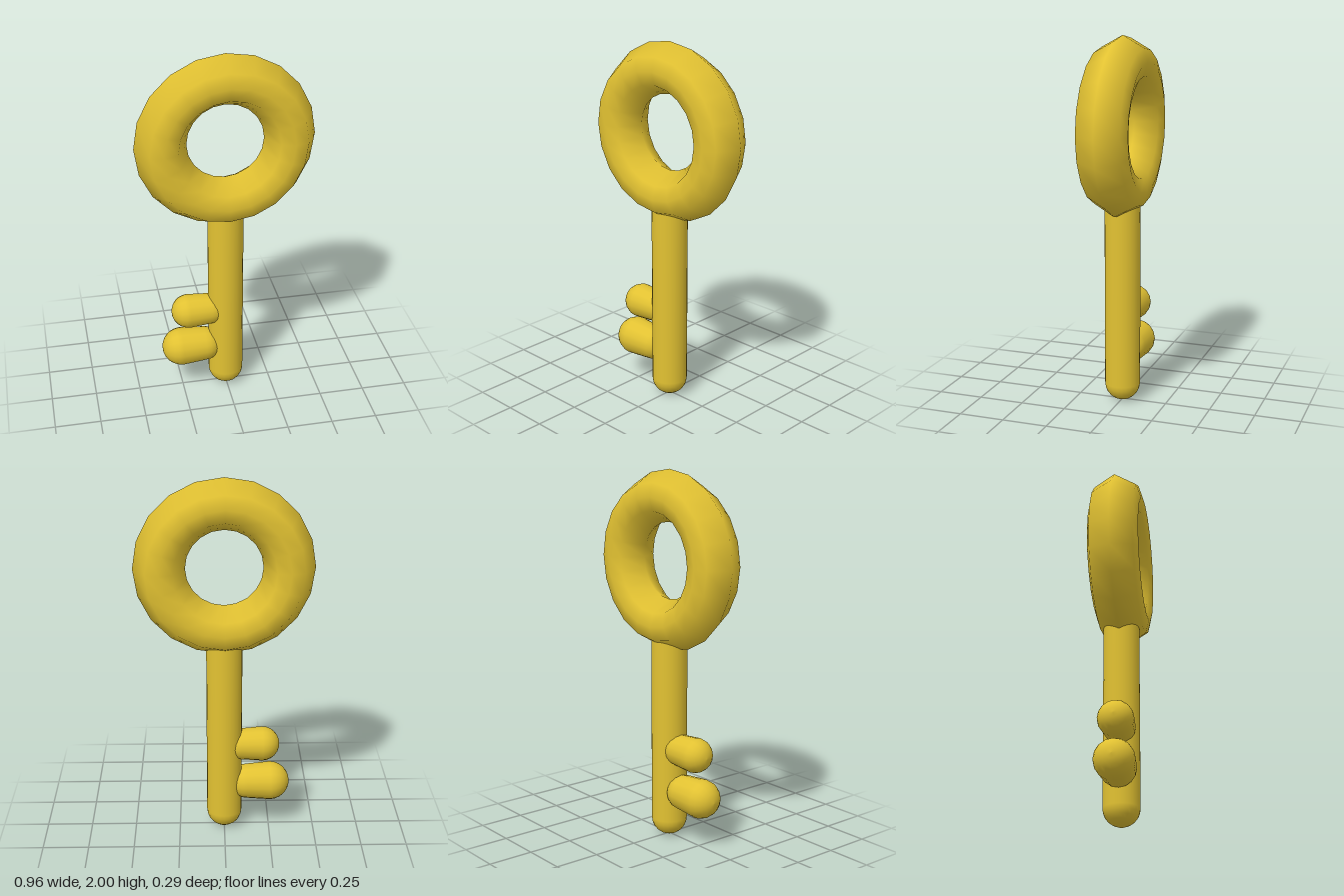
import * as THREE from 'three';

const gold = new THREE.MeshStandardMaterial({ color: 0xe2c232 });

// Round-ended bar from y = a (radius ra) up to y = b (radius rb)
function roundedBar(name, a, ra, b, rb, sides) {
  const pts = [];
  const steps = 6;
  for (let i = 0; i <= steps; i++) {
    const t = (i / steps) * Math.PI / 2;
    pts.push(new THREE.Vector2(ra * Math.sin(t), a - ra * Math.cos(t)));
  }
  for (let i = 0; i <= steps; i++) {
    const t = (i / steps) * Math.PI / 2;
    pts.push(new THREE.Vector2(rb * Math.cos(t), b + rb * Math.sin(t)));
  }
  pts[0].x = pts[pts.length - 1].x = 0;
  const mesh = new THREE.Mesh(new THREE.LatheGeometry(pts, sides), gold);
  mesh.name = name;
  return mesh;
}

// Ring with a faceted tube: sharp outer rim, flattened front and back
function ringGeometry(R, r, around) {
  const angles = [0, 58, 90, 122, 180, 238, 270, 302, 360];
  const geo = new THREE.TorusGeometry(R, r, angles.length - 1, around);
  const { position, normal } = geo.attributes;
  for (let k = 0; k < position.count; k++) {
    const a = THREE.MathUtils.degToRad(angles[Math.floor(k / (around + 1))]);
    const u = ((k % (around + 1)) / around) * Math.PI * 2;
    const c = Math.cos(a), s = Math.sin(a), d = R + r * c;
    position.setXYZ(k, d * Math.cos(u), d * Math.sin(u), r * s);
    normal.setXYZ(k, c * Math.cos(u), c * Math.sin(u), s);
  }
  return geo;
}

export function createModel() {
  const key = new THREE.Group();
  key.name = 'key';

  // Bow: the ring one holds
  const bow = new THREE.Mesh(ringGeometry(0.342, 0.137, 20), gold);
  bow.name = 'bow';
  bow.position.y = 1.522;
  bow.rotation.y = 0.026;
  key.add(bow);

  // Shaft, its upper end buried in the bow
  key.add(roundedBar('shaft', 0.097, 0.097, 1.1, 0.097, 24));

  // Bit: two stubby teeth pointing to -x
  const bit = new THREE.Group();
  bit.name = 'bit';
  bit.rotation.y = 0.026;
  const teeth = [
    ['upperTooth', 0.5, 0.09, 0.086, 0.21, 0.095],
    ['lowerTooth', 0.268, 0.125, 0.096, 0.255, 0.107],
  ];
  for (const [name, y, a, ra, b, rb] of teeth) {
    const tooth = roundedBar(name, a, ra, b, rb, 16);
    tooth.rotation.z = Math.PI / 2;
    tooth.position.y = y;
    bit.add(tooth);
  }
  key.add(bit);

  return key;
}
